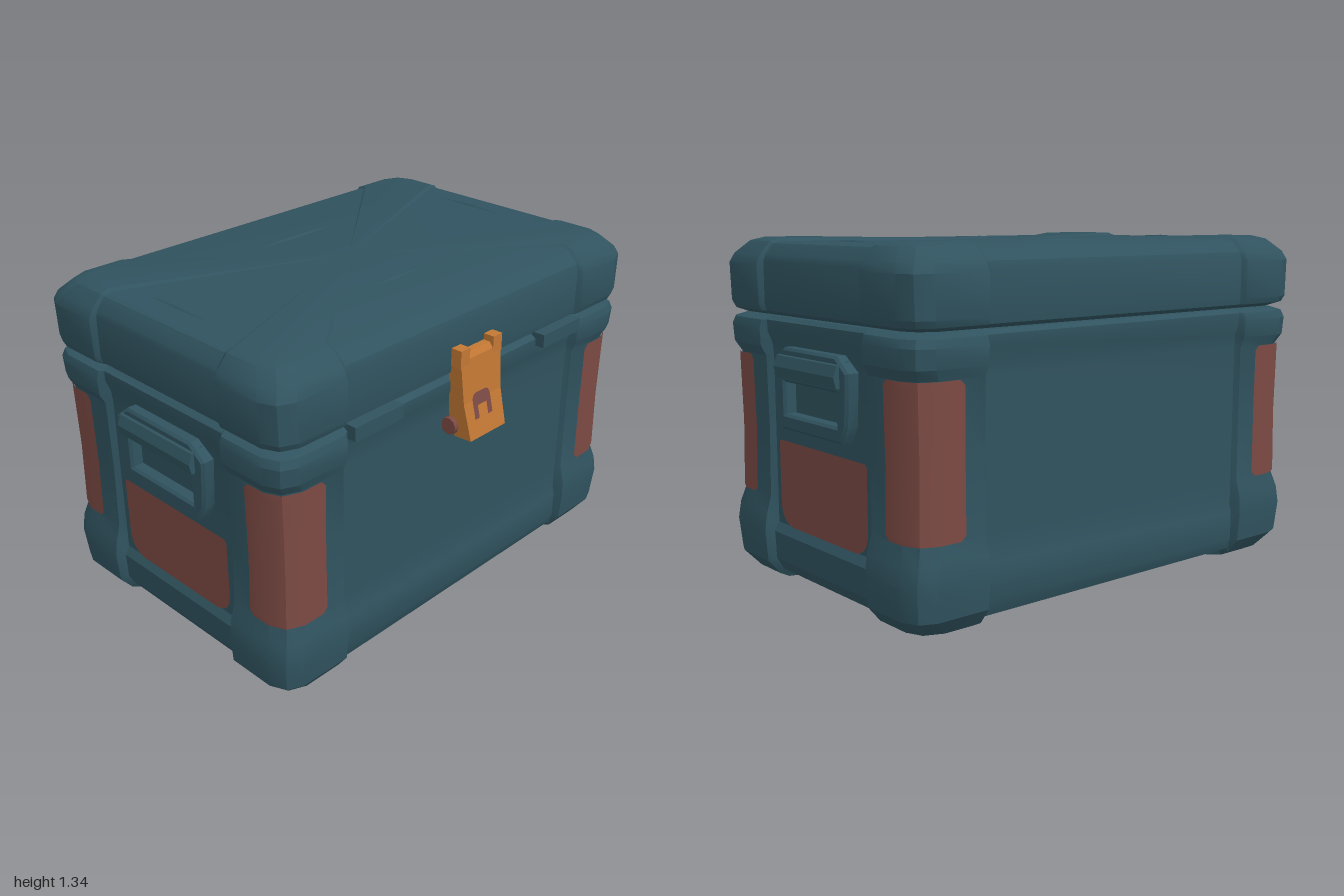
import * as THREE from 'three';
import { toCreasedNormals } from 'three/addons/utils/BufferGeometryUtils.js';

const mat = (name, color) => {
  const m = new THREE.MeshStandardMaterial({ color });
  m.name = name;
  return m;
};

// Joins stacked rings of [x, y, z] points; closed rings get fan caps.
function loft(rings, closed) {
  const n = rings[0].length, pos = rings.flat(2), idx = [];
  for (let i = 0; i < rings.length - 1; i++) {
    for (let j = 0; j < (closed ? n : n - 1); j++) {
      const a = i * n + j, b = i * n + (j + 1) % n;
      idx.push(a, b, a + n, b, b + n, a + n);
    }
  }
  if (closed) {
    const last = (rings.length - 1) * n, c = rings.length * n;
    pos.push(0, rings[0][0][1], 0, 0, rings[rings.length - 1][0][1], 0);
    for (let j = 0; j < n; j++) {
      const k = (j + 1) % n;
      idx.push(c, k, j, c + 1, last + j, last + k);
    }
  }
  const g = new THREE.BufferGeometry();
  g.setAttribute('position', new THREE.Float32BufferAttribute(pos, 3));
  g.setIndex(idx);
  return toCreasedNormals(g, 0.45);
}

const QUADRANTS = [[1, 1], [1, -1], [-1, -1], [-1, 1]];
const place = (pts, sx, sz) => {
  const q = pts.map(([x, y, z]) => [x * sx, y, z * sz]);
  return sx * sz < 0 ? q.reverse() : q;
};

// Bevelled corner, between its front end and its side end.
const corner = (y, X, Z, c = 0.09) => [
  [X - c, y, Z], [X - 0.3 * c, y, Z - 0.3 * c], [X, y, Z - c]];

// Full outline: raised corner posts (y, X, Z) around recessed panels (ym, xm, zm).
const outline = ([y, X, Z, ym, xm, zm]) => QUADRANTS.flatMap(([sx, sz]) => place([
  [0.65, ym, zm], [0.665, y, Z], ...corner(y, X, Z), [X, y, 0.355], [xm, ym, 0.34]
], sx, sz));

const BODY = [
  [0, 0.88, 0.56, 0.03, 0.88, 0.56],
  [0.02, 0.92, 0.6, 0.04, 0.91, 0.6],
  [0.08, 0.97, 0.645, 0.09, 0.94, 0.62],
  [0.2, 0.98, 0.655, 0.2, 0.945, 0.62],
  [0.27, 0.97, 0.65, 0.235, 0.925, 0.612],
  [0.34, 0.95, 0.632, 0.34, 0.925, 0.612],
  [0.6, 0.945, 0.63, 0.6, 0.925, 0.612],
  [0.89, 0.95, 0.632, 0.89, 0.925, 0.612],
  [0.93, 0.972, 0.65, 0.94, 0.93, 0.615],
  [1.0, 0.975, 0.655, 0.99, 0.95, 0.632],
  [1.03, 0.965, 0.645, 1.03, 0.95, 0.632],
  [1.045, 0.93, 0.61, 1.045, 0.93, 0.61]
];
const LID = [
  [1.05, 0.93, 0.61, 1.05, 0.93, 0.61],
  [1.065, 0.965, 0.645, 1.065, 0.95, 0.632],
  [1.09, 0.975, 0.655, 1.09, 0.958, 0.636],
  [1.24, 0.98, 0.655, 1.25, 0.958, 0.636],
  [1.275, 0.965, 0.64, 1.275, 0.95, 0.628],
  [1.325, 0.92, 0.59, 1.318, 0.915, 0.585],
  [1.338, 0.88, 0.55, 1.327, 0.88, 0.55]
];

function polygon(points) {
  return new THREE.Shape(points.map(([x, y]) => new THREE.Vector2(x, y)));
}

export function createModel() {
  const teal = mat('teal shell', 0x30535f);
  const red = mat('faded red paint', 0x7c4a44);
  const orange = mat('orange latch', 0xc27734);

  const model = new THREE.Group();
  model.name = 'storageChest';
  const chest = new THREE.Group();
  chest.name = 'chest';
  chest.position.z = -0.035;
  model.add(chest);
  const add = (parent, name, geometry, material, x = 0, y = 0, z = 0) => {
    const m = new THREE.Mesh(geometry, material);
    m.name = name;
    m.position.set(x, y, z);
    parent.add(m);
    return m;
  };

  add(chest, 'body', loft(BODY.map(outline), true), teal);
  add(chest, 'lid', loft(LID.map(outline), true), teal);

  // Painted patches wrapping each corner post
  const patchRows = [[0.34, 0.95, 0.02], [0.36, 0.95, 0], [0.6, 0.945, 0], [0.87, 0.95, 0], [0.89, 0.95, 0.02]];
  for (const [sx, sz] of QUADRANTS) {
    const rings = patchRows.map(([y, x, inset]) => {
      const X = x + 0.006, Z = (y === 0.6 ? 0.63 : 0.632) + 0.006;
      return place([[0.755 + inset, y, Z], ...corner(y, X, Z), [X, y, 0.45 + inset]], sx, sz);
    });
    add(chest, 'cornerPatch', loft(rings, false), red);
  }

  // Handles and painted panels on both ends
  const frame = polygon([[-0.2, 0.64], [0.2, 0.64], [0.235, 0.7], [0.245, 0.88], [0.18, 0.93], [-0.18, 0.93], [-0.245, 0.88], [-0.235, 0.7]]);
  frame.holes.push(polygon([[-0.19, 0.68], [-0.19, 0.82], [0.19, 0.82], [0.19, 0.68]]));
  const frameGeo = toCreasedNormals(new THREE.ExtrudeGeometry(frame, {
    depth: 0.045, bevelEnabled: true, bevelSize: 0.01, bevelThickness: 0.01, bevelSegments: 1
  }), 0.5);
  const gripGeo = new THREE.ExtrudeGeometry(
    polygon([[0, 0.82], [0.055, 0.83], [0.065, 0.87], [0.05, 0.91], [0, 0.925]]), { depth: 0.42, bevelEnabled: false });
  gripGeo.translate(0, 0, -0.21);
  const panel = new THREE.Shape();
  panel.moveTo(-0.22, 0.235);
  panel.lineTo(0.22, 0.235);
  panel.quadraticCurveTo(0.305, 0.245, 0.305, 0.33);
  panel.lineTo(0.305, 0.55);
  panel.quadraticCurveTo(0.305, 0.57, 0.285, 0.57);
  panel.lineTo(-0.285, 0.57);
  panel.quadraticCurveTo(-0.305, 0.57, -0.305, 0.55);
  panel.lineTo(-0.305, 0.33);
  panel.quadraticCurveTo(-0.305, 0.245, -0.22, 0.235);
  for (const side of [1, -1]) {
    const end = new THREE.Group();
    end.name = side > 0 ? 'leftEnd' : 'rightEnd';
    end.rotation.y = side > 0 ? 0 : Math.PI;
    chest.add(end);
    add(end, 'handleFrame', frameGeo, teal, 0.92).rotation.y = Math.PI / 2;
    add(end, 'handleGrip', gripGeo, teal, 0.935);
    add(end, 'endPatch', new THREE.ShapeGeometry(panel), red, 0.931).rotation.y = Math.PI / 2;
    // Rim tabs either side of the latch
    add(model, 'rimTab', new THREE.BoxGeometry(0.24, 0.055, 0.06), teal, side * 0.525, 1.03, 0.606);
  }

  // Shallow worn ridges on the lid
  for (const [x, z, lx, lz] of [[0, -0.33, 0.38, 0.02], [-0.05, 0.265, 0.25, 0.018], [0.8, -0.08, 0.012, 0.3], [-0.81, -0.08, 0.012, 0.3]]) {
    const g = new THREE.ConeGeometry(1, 1, 4).toNonIndexed();
    g.computeVertexNormals();
    add(model, 'lidRidge', g, teal, x, 1.328, z).scale.set(lx, 0.012, lz);
  }

  // Latch: side profile extruded across the width, narrower at the bottom
  const latch = new THREE.Group();
  latch.name = 'latch';
  model.add(latch);
  const latchGeo = new THREE.ExtrudeGeometry(
    polygon([[-0.59, 0.9], [-0.62, 0.805], [-0.698, 0.81], [-0.662, 0.95], [-0.645, 1.12], [-0.63, 1.14], [-0.59, 1.14]]),
    { depth: 0.23, bevelEnabled: false });
  latchGeo.translate(0, 0, -0.115);
  latchGeo.rotateY(Math.PI / 2);
  const p = latchGeo.attributes.position;
  for (let i = 0; i < p.count; i++) {
    p.setX(i, p.getX(i) * (0.88 + (p.getY(i) - 0.8) * 0.35));
    p.setZ(i, Math.abs(p.getZ(i)));
  }
  // The profile is drawn facing backwards, so restore the outward winding if flipped
  latchGeo.computeVertexNormals();
  const body = add(latch, 'latchPlate', latchGeo, orange);
  body.updateMatrix();
  for (const s of [1, -1]) {
    add(latch, 'latchEar', new THREE.BoxGeometry(0.05, 0.07, 0.05), orange, s * 0.092, 1.13, 0.622);
    const pin = add(latch, 'latchPin', new THREE.CylinderGeometry(0.035, 0.035, 0.03, 8), red, s * 0.11, 0.85, 0.605);
    pin.rotation.z = Math.PI / 2;
  }

  // Painted arch on the latch
  const arch = new THREE.Shape();
  arch.moveTo(-0.05, -0.05);
  arch.lineTo(-0.05, 0.02);
  arch.quadraticCurveTo(-0.05, 0.05, -0.02, 0.05);
  arch.lineTo(0.02, 0.05);
  arch.quadraticCurveTo(0.05, 0.05, 0.05, 0.02);
  arch.lineTo(0.05, -0.05);
  arch.lineTo(0.025, -0.05);
  arch.lineTo(0.025, 0);
  arch.lineTo(-0.025, 0);
  arch.lineTo(-0.025, -0.05);
  add(latch, 'latchMark', new THREE.ShapeGeometry(arch), red, -0.012, 0.93, 0.6715).rotation.x = -0.24;
  return model;
}
